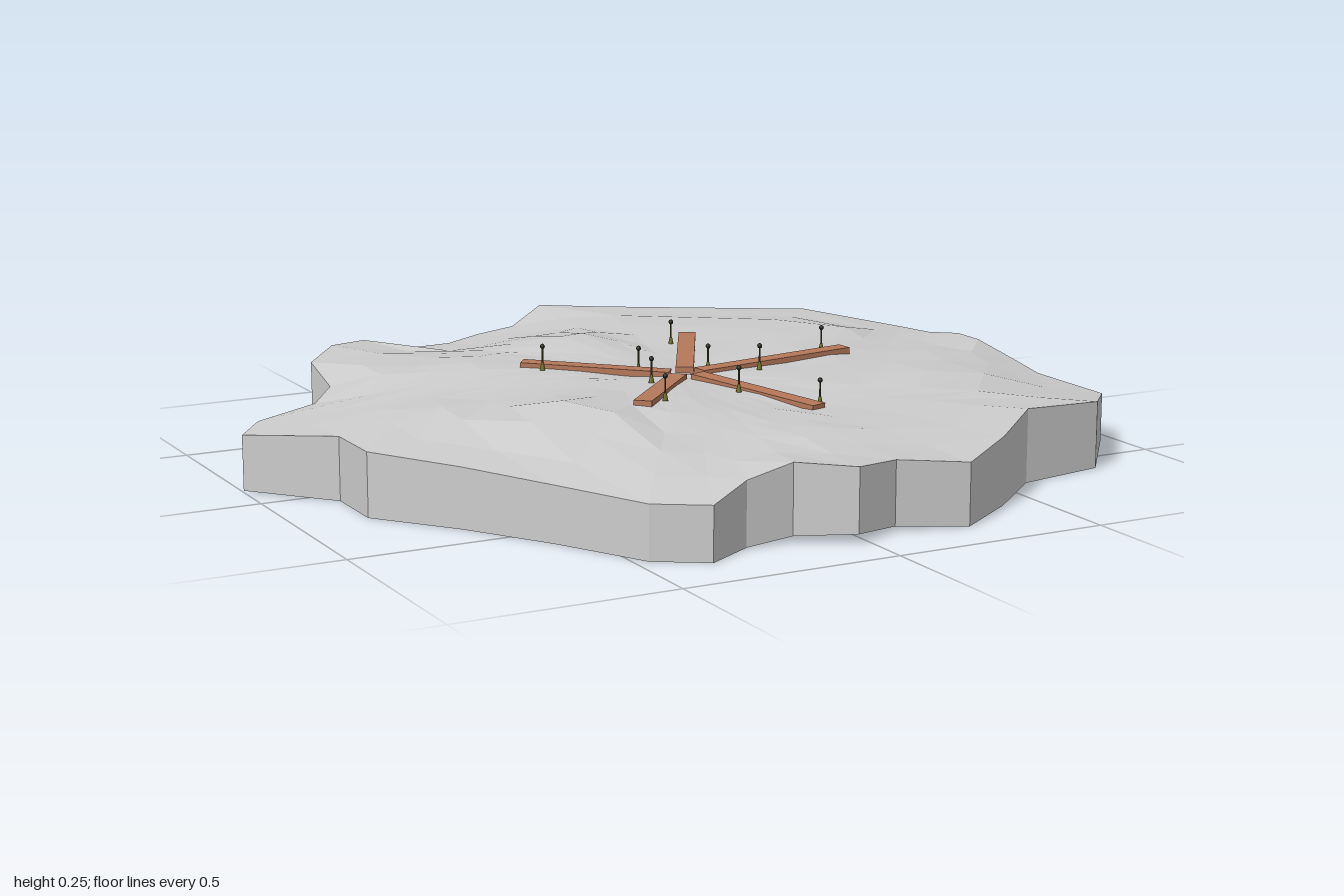
import * as THREE from 'three';

// Shoreline corners: x, z, top height
const rim = [
  [0.10, -0.90, 0.19], [0.26, -0.85, 0.18], [0.79, -0.71, 0.15], [0.93, -0.44, 0.135], [0.91, -0.29, 0.15],
  [0.94, -0.20, 0.16], [0.94, -0.11, 0.16], [1.00, -0.03, 0.115], [0.96, 0.12, 0.115], [0.96, 0.38, 0.115],
  [0.79, 0.59, 0.155], [0.57, 0.63, 0.17], [0.41, 0.77, 0.155], [0.25, 0.88, 0.14], [0.09, 0.84, 0.155],
  [-0.03, 0.89, 0.165], [-0.14, 0.81, 0.17], [-0.25, 0.81, 0.145], [-0.36, 0.87, 0.12], [-0.47, 0.80, 0.12],
  [-0.58, 0.59, 0.125], [-0.70, 0.40, 0.135], [-0.84, 0.22, 0.145], [-0.84, 0.06, 0.145], [-1.00, -0.11, 0.13],
  [-0.93, -0.20, 0.135], [-0.76, -0.29, 0.14], [-0.68, -0.40, 0.15], [-0.68, -0.52, 0.185], [-0.58, -0.64, 0.195],
  [-0.47, -0.71, 0.185], [-0.36, -0.66, 0.165], [-0.25, -0.69, 0.16], [-0.14, -0.76, 0.16], [-0.03, -0.79, 0.165],
];

// Pins: x, z, height of the tip
const pins = [
  [-0.25, -0.15, 0.255], [-0.03, -0.09, 0.24], [0.15, -0.08, 0.23], [0.20, -0.36, 0.235], [0.45, -0.06, 0.25],
  [0.21, 0.06, 0.25], [0.07, 0.21, 0.24], [0.20, 0.35, 0.225], [-0.08, 0.07, 0.25], [-0.14, 0.25, 0.25],
];
const PIN = 0.062;

// Inland hills and hollows: x, z, height
const hills = [
  [-0.36, 0.25, 0.21], [-0.04, -0.43, 0.205], [-0.55, -0.40, 0.185], [-0.60, 0.05, 0.18], [-0.36, 0.58, 0.165],
  [0.05, 0.60, 0.175], [0.40, 0.45, 0.17], [0.57, 0.25, 0.18], [0.75, 0.00, 0.17], [0.60, -0.35, 0.185],
  [0.35, -0.60, 0.185], [-0.36, -0.30, 0.195], [0.04, 0.00, 0.18],
  ...pins.map(([x, z, tip]) => [x, z, tip - PIN]),
];

// Smooth blend of all known heights
function groundHeight(x, z) {
  let sum = 0, weights = 0;
  for (const [px, pz, py] of [...rim, ...hills]) {
    const w = 1 / (((x - px) ** 2 + (z - pz) ** 2) ** 1.5 + 1e-6);
    sum += w * py;
    weights += w;
  }
  return sum / weights;
}

const paint = (color, extra = {}) => new THREE.MeshStandardMaterial({ color, ...extra });

// Open-bottomed land: centre, rings growing to the shoreline, then a vertical skirt
function landGeometry() {
  const n = rim.length, rings = 7;
  const pos = [0.04, groundHeight(0.04, 0), 0], index = [];
  for (let r = 1; r <= rings; r++) {
    const t = r / rings;
    for (const [x, z, y] of rim) {
      const px = 0.04 + (x - 0.04) * t, pz = z * t;
      pos.push(px, r === rings ? y : groundHeight(px, pz), pz);
    }
  }
  for (const [x, z] of rim) {
    pos.push(x, z > 0 ? 0.022 * Math.exp(-(((x + 0.03) / 0.15) ** 2)) : 0.004, z);
  }
  for (let i = 0; i < n; i++) {
    const j = (i + 1) % n;
    index.push(0, 1 + j, 1 + i);
    for (let r = 0; r < rings; r++) {
      const a = 1 + r * n, b = a + n;
      index.push(a + i, a + j, b + i, a + j, b + j, b + i);
    }
  }
  const geo = new THREE.BufferGeometry();
  geo.setAttribute('position', new THREE.Float32BufferAttribute(pos, 3));
  geo.setIndex(index);
  geo.computeVertexNormals();
  return geo;
}

export function createModel() {
  const model = new THREE.Group();

  const land = new THREE.Mesh(landGeometry(), paint(0xcccccc, { flatShading: true, side: THREE.DoubleSide }));
  land.name = 'land';
  model.add(land);

  // Planks radiating from the middle: start x, z, end x, z
  const planks = new THREE.Group();
  planks.name = 'planks';
  const wood = paint(0xb5785a);
  for (const [x0, z0, x1, z1] of [
    [0.06, -0.03, 0.275, -0.415], [0.08, 0.005, 0.50, -0.035], [0.055, 0.04, 0.17, 0.395],
    [0.01, 0.03, -0.21, 0.275], [0.01, -0.01, -0.27, -0.22],
  ]) {
    const a = new THREE.Vector3(x0, groundHeight(x0, z0), z0);
    const b = new THREE.Vector3(x1, groundHeight(x1, z1), z1);
    const plank = new THREE.Mesh(new THREE.BoxGeometry(0.042, 0.024, a.distanceTo(b)), wood);
    plank.name = 'plank';
    plank.position.copy(a).lerp(b, 0.5);
    plank.lookAt(b);
    planks.add(plank);
  }
  model.add(planks);

  // Pins: olive foot, thin stem, dark round head
  const parts = [
    ['foot', new THREE.CylinderGeometry(0.003, 0.007, 0.018, 8), paint(0x6b6b20), 0.009],
    ['stem', new THREE.CylinderGeometry(0.002, 0.002, PIN, 6), paint(0x4a4a28), PIN / 2],
    ['head', new THREE.SphereGeometry(0.006, 8, 6), paint(0x1c2418), PIN - 0.006],
  ];
  for (const [x, z, tip] of pins) {
    const pin = new THREE.Group();
    pin.name = 'pin';
    for (const [name, geo, mat, y] of parts) {
      const mesh = new THREE.Mesh(geo, mat);
      mesh.name = name;
      mesh.position.y = y;
      pin.add(mesh);
    }
    pin.position.set(x, tip - PIN, z);
    model.add(pin);
  }
  return model;
}
